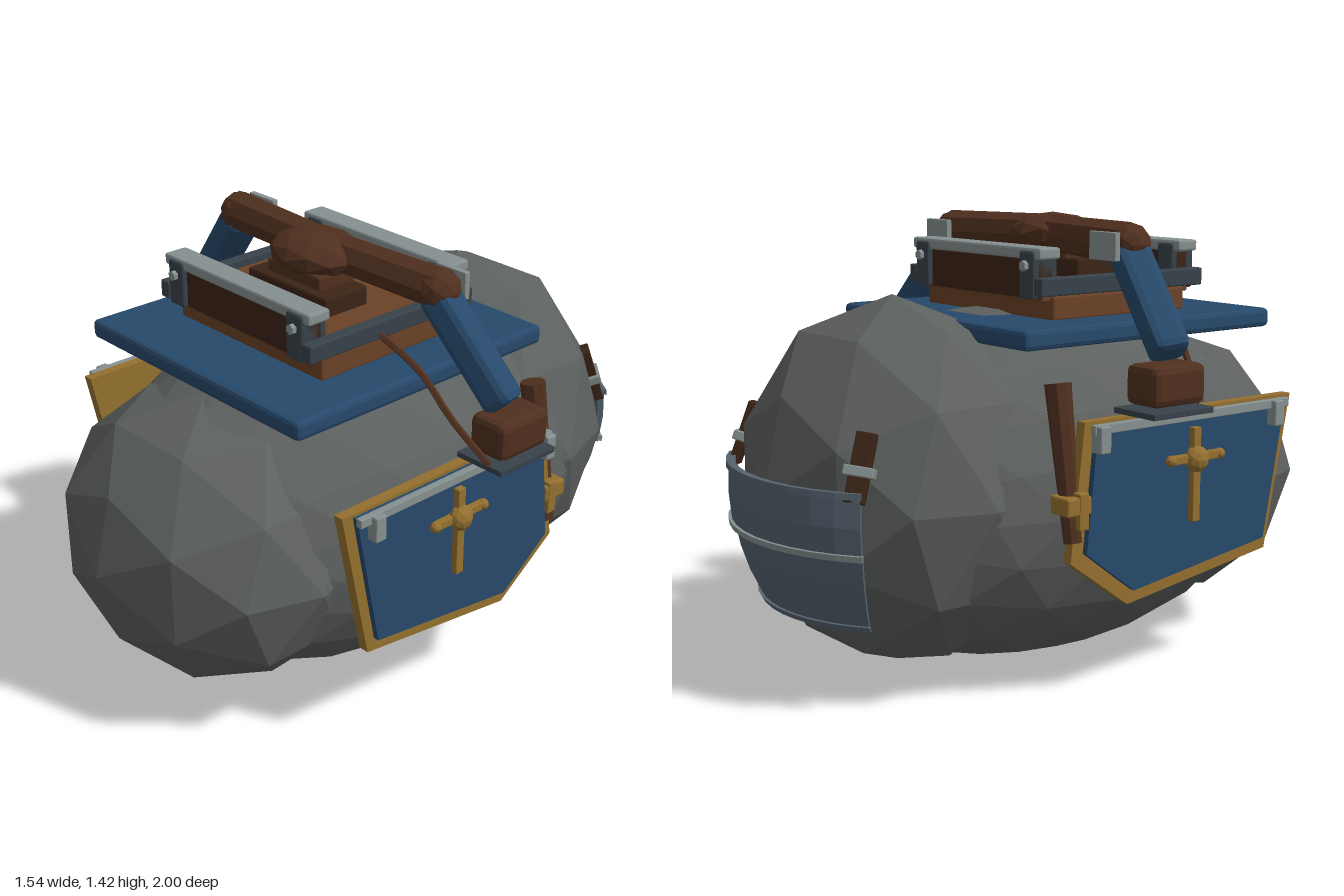
import * as THREE from 'three';
import { RoundedBoxGeometry } from 'three/addons/geometries/RoundedBoxGeometry.js';

const mat = (color, side = THREE.FrontSide) => new THREE.MeshStandardMaterial({ color, flatShading: true, side });
const M = {
  stone: mat(0x5c605e), blue: mat(0x27496b), tan: mat(0x6b4226), brown: mat(0x50301f), dark: mat(0x3c2416),
  gold: mat(0x94702f), steel: mat(0x869090), slate: mat(0x38424a), armor: mat(0x566470),
};
const V = (x, y, z) => new THREE.Vector3(x, y, z);

export function createModel() {
  const root = new THREE.Group();
  const add = (name, geo, m, pos = [0, 0, 0], parent = root) => {
    const mesh = new THREE.Mesh(geo, m);
    mesh.name = name;
    mesh.position.set(...pos);
    parent.add(mesh);
    return mesh;
  };
  // Chamfered box given by its size and centre
  const box = (name, m, size, pos, parent, bevel = 0.12) =>
    add(name, new RoundedBoxGeometry(...size, 1, Math.min(...size) * bevel), m, pos, parent);
  const ball = (name, m, radii, pos, detail, parent) =>
    add(name, new THREE.IcosahedronGeometry(1, detail).scale(...radii), m, pos, parent);
  // Place a y-aligned geometry between two points
  const span = (name, m, a, b, geoFor, parent) => {
    const d = b.clone().sub(a);
    const mesh = add(name, geoFor(d.length()), m, a.clone().add(b).multiplyScalar(0.5).toArray(), parent);
    mesh.quaternion.setFromUnitVectors(V(0, 1, 0), d.normalize());
    return mesh;
  };

  // Body: three overlapping faceted ellipsoids
  ball('frontBody', M.stone, [0.53, 0.465, 0.43], [0, 0.563, 0.57], 1);
  ball('middleBody', M.stone, [0.62, 0.572, 0.95], [0, 0.58, 0], 3);
  ball('rearBody', M.stone, [0.54, 0.577, 0.46], [0, 0.625, -0.5], 1);

  // Blanket and saddle base
  box('blanket', M.blue, [0.98, 0.06, 1.0], [0, 1.096, 0.13], root, 0.25);
  box('saddleBase', M.tan, [0.66, 0.08, 0.54], [0, 1.16, 0.13]);
  box('saddleDeck', M.tan, [0.63, 0.05, 0.6], [0, 1.205, 0.13]);
  box('seatBlock', M.dark, [0.36, 0.07, 0.17], [0, 1.255, 0.165]);
  box('seatTop', M.brown, [0.24, 0.05, 0.14], [0, 1.305, 0.15]);

  // Front and back bolsters with rails, clasps and bolts
  for (const [end, z, out] of [['front', 0.41, 1], ['back', -0.155, -1]]) {
    box(end + 'Bolster', M.dark, [0.62, 0.12, 0.06], [0, 1.25, z], root, 0.08);
    box(end + 'Rail', M.steel, [0.67, 0.035, 0.08], [0, 1.327, z], root, 0.2);
    for (const s of [-1, 1]) {
      box(end + 'Clasp', M.slate, [0.07, 0.145, 0.095], [s * 0.275, 1.262, z]);
      add(end + 'Bolt', new THREE.CylinderGeometry(0.016, 0.016, 0.02, 6).rotateX(Math.PI / 2), M.steel,
        [s * 0.275, 1.29, z + out * 0.052]);
    }
  }

  // Yoke centre
  ball('yokeCentre', M.brown, [0.16, 0.068, 0.135], [0, 1.362, 0.125], 1);

  for (const s of [-1, 1]) {
    const side = new THREE.Group();
    side.name = s > 0 ? 'leftGear' : 'rightGear';
    root.add(side);
    const b = (name, m, size, [x, y, z], bevel) => box(name, m, size, [s * x, y, z], side, bevel);

    // Saddle side bar
    b('sideBar', M.slate, [0.04, 0.055, 0.66], [0.33, 1.228, 0.13]);

    // Yoke arm, rounded elbow and hanging sleeve
    span('yokeArm', M.brown, V(s * 0.02, 1.365, 0.09), V(s * 0.46, 1.355, 0.055),
      (l) => new THREE.CylinderGeometry(0.065, 0.06, l, 8), side);
    ball('elbow', M.brown, [0.068, 0.066, 0.068], [s * 0.45, 1.353, 0.055], 1, side);
    span('sleeve', M.blue, V(s * 0.44, 1.345, 0.055), V(s * 0.69, 1.05, 0.01),
      (l) => new RoundedBoxGeometry(0.1, l, 0.115, 1, 0.025), side);
    b('elbowPlate', M.steel, [0.12, 0.085, 0.02], [0.43, 1.35, -0.025]);

    // Stirrup: boot, foot plate and strap
    b('boot', M.brown, [0.135, 0.12, 0.2], [0.69, 0.968, -0.01], 0.18);
    b('footPlate', M.slate, [0.175, 0.018, 0.235], [0.683, 0.889, -0.01]);
    const strap = new THREE.CatmullRomCurve3([V(s * 0.32, 1.22, 0.185), V(s * 0.5, 1.145, 0.175),
      V(s * 0.61, 1.02, 0.15), V(s * 0.72, 0.9, 0.105)]);
    add('stirrupStrap', new THREE.TubeGeometry(strap, 10, 0.011, 5), M.brown, [0, 0, 0], side);

    // Hanging side panel: gold backing with blue face
    const panel = (name, m, pts, inner, outer) => {
      const shape = new THREE.Shape(pts.map(([z, y]) => new THREE.Vector2(z, y)));
      const geo = new THREE.ExtrudeGeometry(shape, { depth: outer - inner, bevelEnabled: false });
      geo.rotateY(-Math.PI / 2);
      add(name, geo, m, [s > 0 ? outer : -inner, 0, 0], side);
    };
    panel('panelBacking', M.gold, [[0.59, 0.87], [0.49, 0.38], [-0.09, 0.3], [-0.31, 0.46], [-0.26, 0.87]], 0.59, 0.624);
    panel('panelFace', M.blue, [[0.55, 0.86], [0.465, 0.42], [-0.08, 0.345], [-0.265, 0.485], [-0.225, 0.86]], 0.62, 0.643);
    b('panelRail', M.steel, [0.022, 0.028, 0.8], [0.648, 0.85, 0.15]);
    for (const z of [0.49, -0.225]) b('panelClip', M.steel, [0.045, 0.08, 0.04], [0.656, 0.822, z]);

    // Ornament
    b('ornamentBar', M.gold, [0.024, 0.29, 0.03], [0.652, 0.67, 0.15]);
    b('ornamentCrossbar', M.gold, [0.024, 0.026, 0.2], [0.652, 0.722, 0.15]);
    for (const z of [0.05, 0.25]) ball('ornamentKnob', M.gold, [0.018, 0.018, 0.018], [s * 0.655, 0.722, z], 1, side);
    ball('ornamentHub', M.gold, [0.034, 0.042, 0.042], [s * 0.66, 0.718, 0.15], 1, side);

    // Club held in a gold bracket
    span('club', M.brown, V(s * 0.615, 0.52, -0.295), V(s * 0.535, 0.975, -0.288),
      (l) => new THREE.CylinderGeometry(0.04, 0.027, l, 8), side);
    b('clubBracket', M.gold, [0.085, 0.055, 0.09], [0.605, 0.632, -0.295]);
    b('clubBracketPin', M.gold, [0.05, 0.11, 0.035], [0.625, 0.615, -0.28]);

    // Rump armour straps with buckles
    const hang = span('rumpStrap', M.dark, V(s * 0.35, 0.67, -0.865), V(s * 0.325, 0.86, -0.8),
      (l) => new RoundedBoxGeometry(0.06, l, 0.03, 1, 0.004), side);
    hang.rotateY(s * 0.75 * -1);
    const buckle = box('rumpBuckle', M.steel, [0.09, 0.03, 0.045], [s * 0.34, 0.755, -0.838], side);
    buckle.quaternion.copy(hang.quaternion);
  }

  // Rump armour: slabs wrapped around the rear of the body
  const wrap = (name, m, y0, y1, thick, lift, rows, half = 0.74) => {
    const geo = new THREE.BoxGeometry(2, 1, 1, 10, rows, 1);
    const p = geo.attributes.position;
    for (let i = 0; i < p.count; i++) {
      const phi = p.getX(i) * half;
      const y = THREE.MathUtils.lerp(y0, y1, p.getY(i) + 0.5);
      const r = Math.sqrt(1 - ((y - 0.625) / 0.6) ** 2);
      const k = r + lift + (p.getZ(i) + 0.5) * thick;
      // Turned to face -z, keeping the winding outward
      p.setXYZ(i, -0.54 * k * Math.sin(phi), y, -0.5 - 0.475 * k * Math.cos(phi));
    }
    geo.computeVertexNormals();
    add(name, geo, m);
  };
  wrap('rumpPlateUpper', M.armor, 0.5, 0.7, 0.04, 0, 2);
  wrap('rumpPlateLower', M.armor, 0.28, 0.52, 0.035, -0.01, 3);
  wrap('rumpRidge', M.steel, 0.505, 0.523, 0.03, 0.03, 1, 0.75);
  wrap('rumpTopTrim', M.armor, 0.685, 0.703, 0.02, 0.035, 1, 0.75);
  wrap('rumpBottomTrim', M.armor, 0.272, 0.29, 0.03, 0.015, 1, 0.75);

  return root;
}
